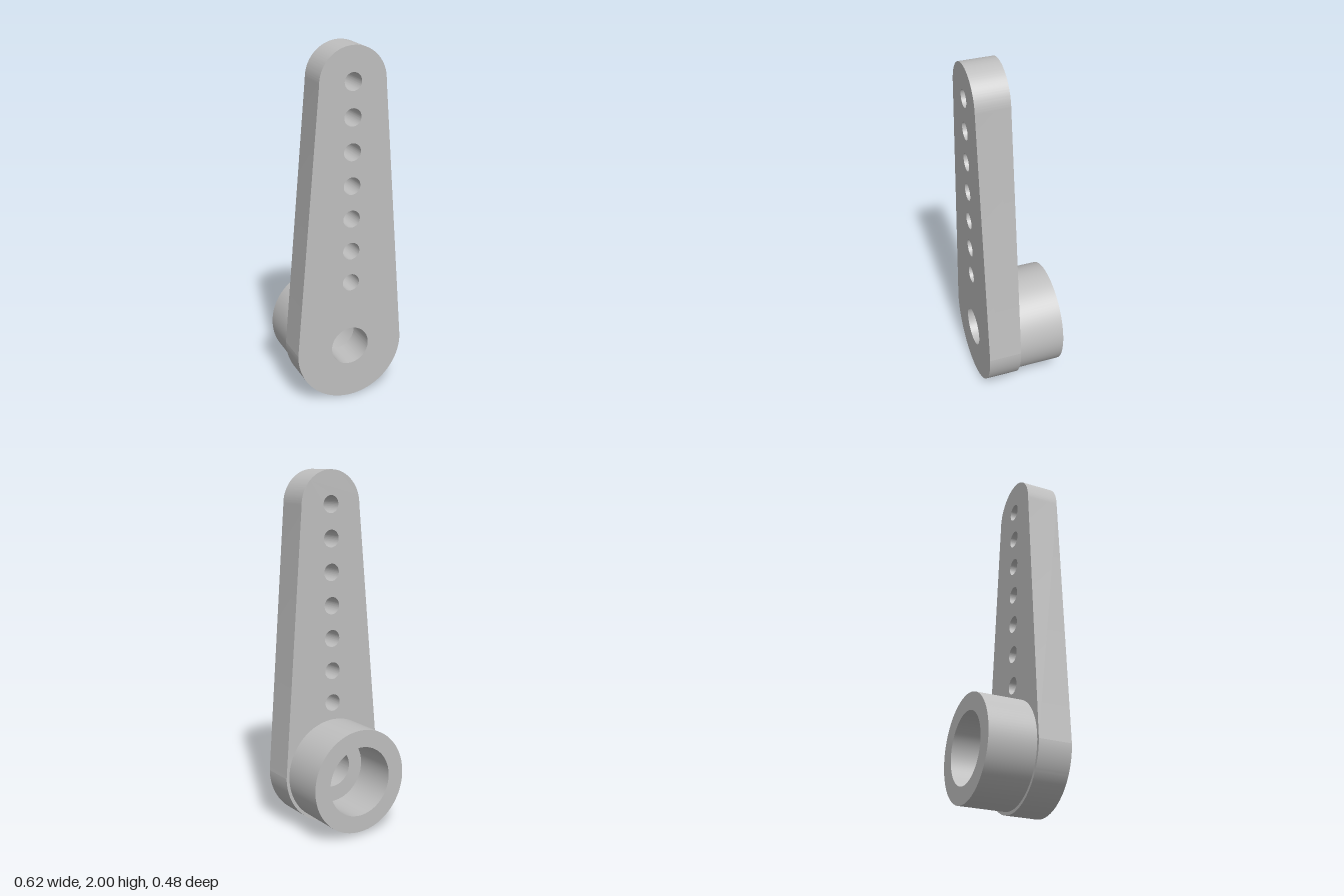
import * as THREE from 'three';
import { toCreasedNormals } from 'three/addons/utils/BufferGeometryUtils.js';

const HUB_Y = 0.317, HUB_R = 0.312;   // wide end of the arm
const TIP_Y = 1.813, TIP_R = 0.187;   // narrow end of the arm
const BACK_Z = 0.027, FRONT_Z = 0.213, COLLAR_Z = -0.238;

function circle(PathType, y, r) {
  return new PathType().absarc(0, y, r, 0, Math.PI * 2, false);
}

// Extrude a shape from z0 to z1, smooth on arcs and sharp at edges
function plate(name, shape, z0, z1, material) {
  const geometry = new THREE.ExtrudeGeometry(shape, {
    depth: z1 - z0, bevelEnabled: false, curveSegments: 48,
  });
  geometry.translate(0, 0, z0);
  const mesh = new THREE.Mesh(toCreasedNormals(geometry, 0.08), material);
  mesh.name = name;
  return mesh;
}

export function createModel() {
  const model = new THREE.Group();
  model.name = 'leverArm';
  const grey = new THREE.MeshStandardMaterial({ color: 0xbfbfbf });
  grey.name = 'grey';

  // Tapered arm: two half circles joined by straight sides
  const outline = new THREE.Shape();
  outline.absarc(0, TIP_Y, TIP_R, 0, Math.PI, false);
  outline.absarc(0, HUB_Y, HUB_R, Math.PI, Math.PI * 2, false);
  outline.closePath();

  // Screw hole and the row of linkage holes
  outline.holes.push(circle(THREE.Path, HUB_Y + 0.003, 0.11));
  for (let i = 0; i < 7; i++) {
    outline.holes.push(circle(THREE.Path, TIP_Y + 0.003 - i * 0.1845, 0.048));
  }
  const arm = plate('arm', outline, BACK_Z, FRONT_Z, grey);

  // Hollow collar behind the wide end
  const ring = circle(THREE.Shape, HUB_Y, 0.294);
  ring.holes.push(circle(THREE.Path, HUB_Y, 0.197));
  const collar = plate('collar', ring, COLLAR_Z, BACK_Z + 0.004, grey);

  // The whole piece leans slightly forward
  const body = new THREE.Group();
  body.name = 'body';
  body.rotation.x = 0.0125;
  body.position.y = -0.002;
  body.add(arm, collar);
  model.add(body);
  return model;
}
